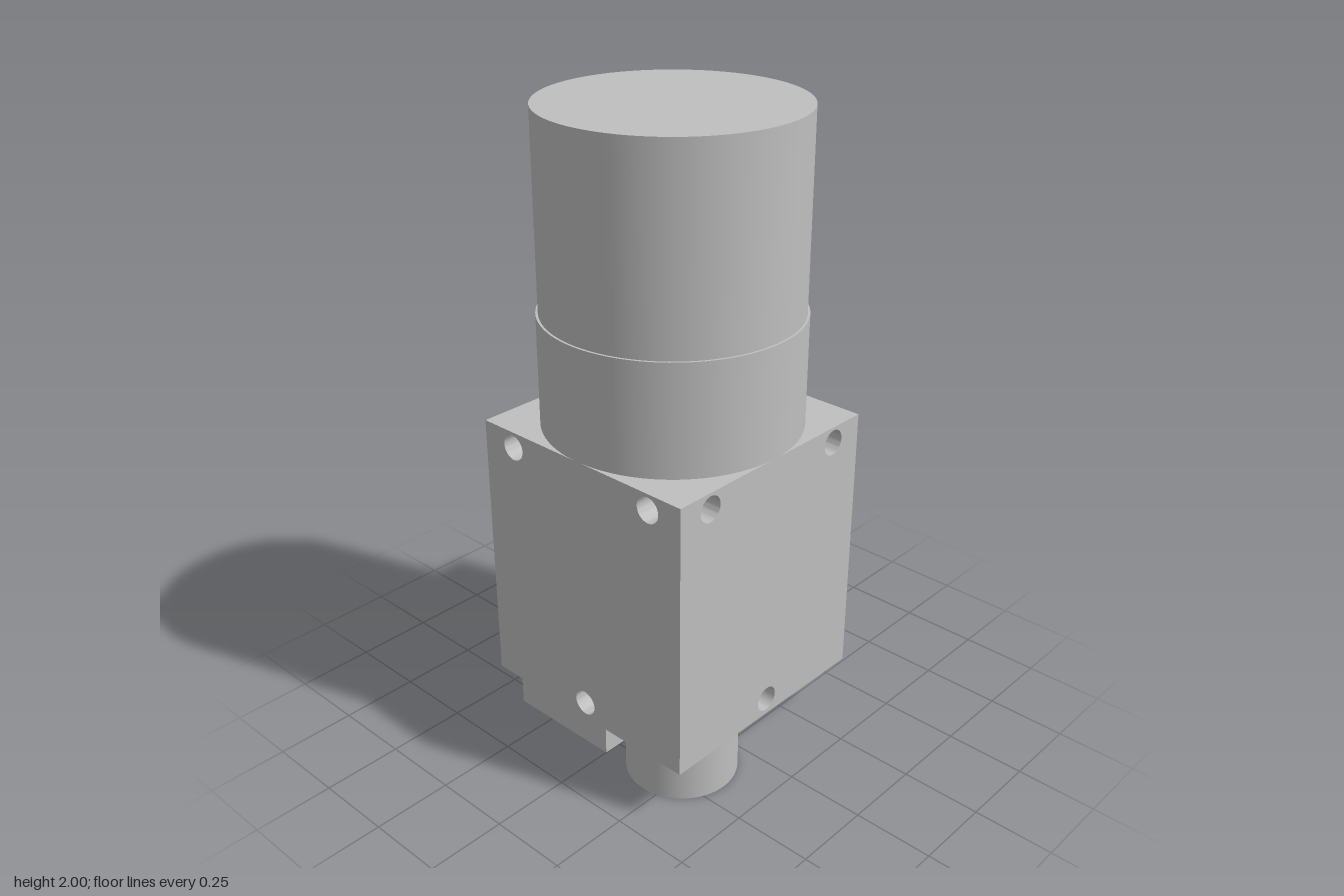
import * as THREE from 'three';
import { toCreasedNormals } from 'three/addons/utils/BufferGeometryUtils.js';

const HALF = 0.39, BASE = 0.185, TOP = 1.065;      // housing extents
const R = 0.04, DEPTH = 0.115, TIP = 0.025;        // drilled holes
const HOLE_U = 0.27, HIGH = 1.015, LOW = 0.24;     // hole positions

const metal = new THREE.MeshStandardMaterial({ color: 0xbfbfbf, side: THREE.DoubleSide });
metal.name = 'grey metal';

function part(name, geometry, x = 0, y = 0, z = 0) {
  const mesh = new THREE.Mesh(geometry, metal);
  mesh.name = name;
  mesh.position.set(x, y, z);
  return mesh;
}

// True inside the hole drilled from the adjoining wall, which meets this one near the corner
function insideNeighbour(p) {
  const depth = HALF - Math.abs(p.x);
  const radius = depth < DEPTH ? R : R * (DEPTH + TIP - depth) / TIP;
  return Math.hypot(p.y - HIGH, p.z - HOLE_U) < radius;
}

// Blind drilled hole with a conical end, opened where it crosses its neighbour
function drilledHole(u, y) {
  const profile = [];
  for (let i = 0; i <= 14; i++) profile.push(new THREE.Vector2(R, -DEPTH * i / 14));
  for (let i = 1; i <= 4; i++) profile.push(new THREE.Vector2(R * (1 - i / 4), -DEPTH - TIP * i / 4));
  let geo = new THREE.LatheGeometry(profile, 32);
  geo.rotateX(Math.PI / 2);
  geo.translate(u, y, HALF);
  geo = toCreasedNormals(geo, 0.4);
  if (y === HIGH) {
    const pos = geo.attributes.position, keep = [];
    const c = new THREE.Vector3(), v = new THREE.Vector3();
    for (let i = 0; i < pos.count; i += 3) {
      c.set(0, 0, 0);
      for (let k = 0; k < 3; k++) c.add(v.fromBufferAttribute(pos, i + k));
      if (!insideNeighbour(c.divideScalar(3))) keep.push(i, i + 1, i + 2);
    }
    geo.setIndex(keep);
  }
  return part('drilledHole', geo);
}

// One housing wall facing +z, with its holes
function wall(name, holes) {
  const group = new THREE.Group();
  group.name = name;
  const shape = new THREE.Shape([
    new THREE.Vector2(-HALF, BASE), new THREE.Vector2(HALF, BASE),
    new THREE.Vector2(HALF, TOP), new THREE.Vector2(-HALF, TOP),
  ]);
  for (const [u, y] of holes) {
    shape.holes.push(new THREE.Path().absarc(u, y, R, 0, Math.PI * 2, true));
    group.add(drilledHole(u, y));
  }
  group.add(part('wallPlate', new THREE.ShapeGeometry(shape, 16), 0, 0, HALF));
  return group;
}

export function createModel() {
  const model = new THREE.Group();
  model.name = 'cylinderHeadUnit';

  // Square housing: four drilled walls, the back one with two lower holes
  const housing = new THREE.Group();
  housing.name = 'housing';
  const upper = [[-HOLE_U, HIGH], [HOLE_U, HIGH]];
  ['frontWall', 'leftWall', 'backWall', 'rightWall'].forEach((name, i) => {
    const lower = i === 2 ? [[-HOLE_U, LOW], [HOLE_U, LOW]] : [[0, LOW]];
    const side = wall(name, [...upper, ...lower]);
    side.rotation.y = i * Math.PI / 2;
    housing.add(side);
  });
  const lid = new THREE.PlaneGeometry(HALF * 2, HALF * 2).rotateX(-Math.PI / 2);
  const floor = new THREE.PlaneGeometry(HALF * 2, HALF * 2).rotateX(Math.PI / 2);
  housing.add(part('housingTop', lid, 0, TOP), part('housingBottom', floor, 0, BASE));
  model.add(housing);

  // Stepped round body above
  model.add(part('collar', new THREE.CylinderGeometry(HALF, HALF, 1.41 - TOP, 96), 0, (1.41 + TOP) / 2));
  model.add(part('barrel', new THREE.CylinderGeometry(0.383, 0.383, 0.59, 96), 0, 1.705));

  // Connectors underneath
  model.add(part('roundConnector', new THREE.CylinderGeometry(0.174, 0.174, BASE, 64), -0.175, BASE / 2, 0.201));
  model.add(part('blockConnector', new THREE.BoxGeometry(0.615, BASE, HALF), 0, BASE / 2, -HALF / 2));

  return model;
}
